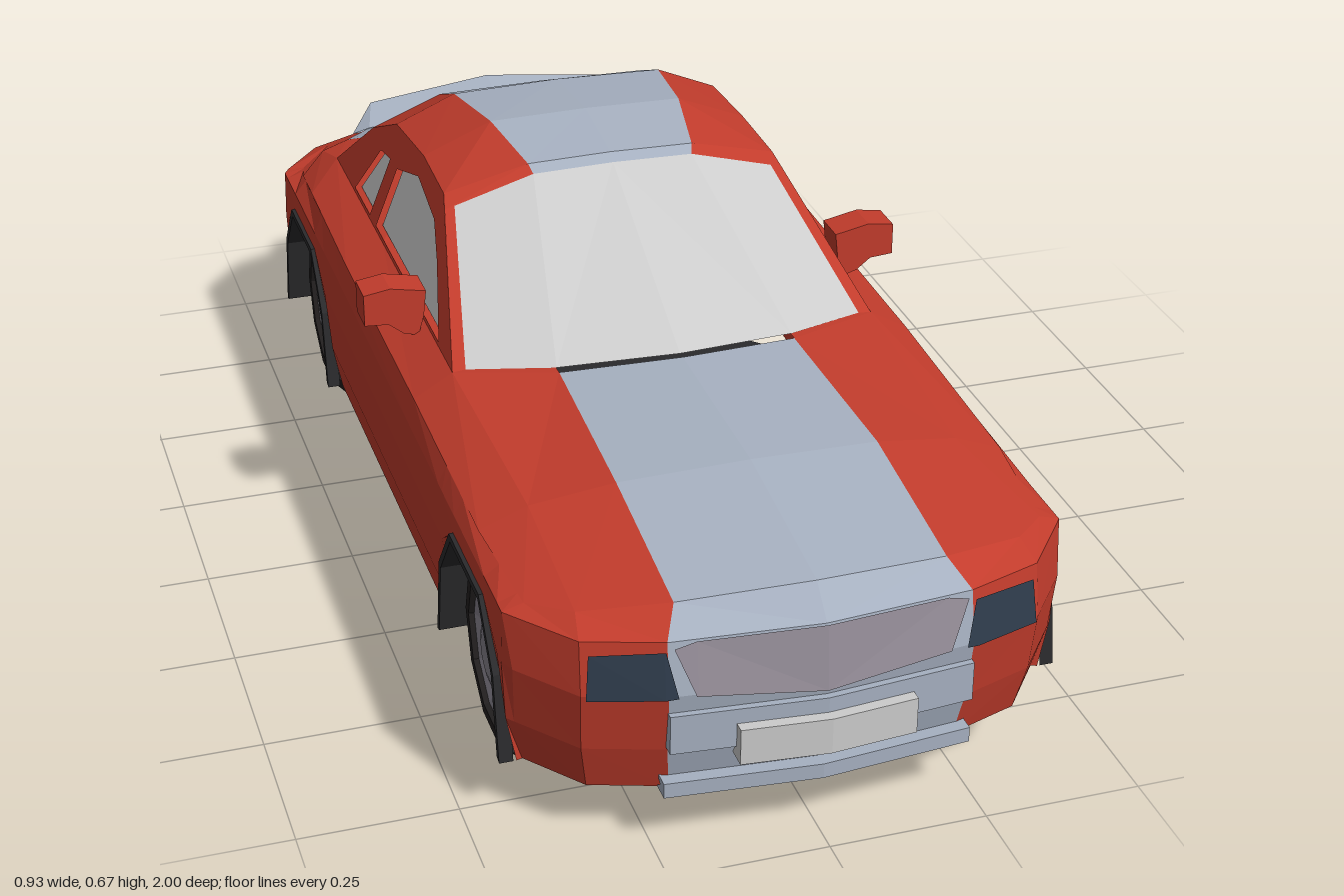
import * as THREE from 'three';

const paint = (color) => new THREE.MeshStandardMaterial({ color, flatShading: true, side: THREE.DoubleSide });
const RED = paint(0xc23c2c), STRIPE = paint(0xa6b0c0), GLASS = paint(0xcccccc), DARK = paint(0x2a2a2c);
const TYRE = paint(0x221f1f), RIM = paint(0x86828c), GRILLE = paint(0x978f9a), LAMP = paint(0x2f3c4c), TAIL = paint(0x4c0d14);

export function createModel() {
  const car = new THREE.Group();
  const add = (name, geometry, material) => {
    const mesh = new THREE.Mesh(geometry, material);
    mesh.name = name;
    car.add(mesh);
    return mesh;
  };

  // Skins a grid of points and its mirror image across x = 0
  const panel = (name, rows, material) => {
    const pos = [];
    for (const s of [1, -1]) {
      const put = (...pts) => (s > 0 ? pts : pts.reverse()).forEach(([x, y, z]) => pos.push(s * x, y, z));
      for (let i = 0; i + 1 < rows.length; i++) {
        for (let j = 0; j + 1 < rows[i].length; j++) {
          const a = rows[i][j], b = rows[i][j + 1], c = rows[i + 1][j + 1], d = rows[i + 1][j];
          put(a, b, d);
          put(b, c, d);
        }
      }
    }
    const g = new THREE.BufferGeometry();
    g.setAttribute('position', new THREE.Float32BufferAttribute(pos, 3));
    g.computeVertexNormals();
    return add(name, g, material);
  };
  const cut = (rows, from, to) => rows.map((r) => r.slice(from, to + 1));

  // Upper body stations, front to rear: centre, stripe edge, inner shoulder, outer shoulder
  const deck = [
    [[0, .41, .91], [.21, .4, .89], [.345, .385, .85], [.405, .375, .79]],
    [[0, .45, .62], [.21, .44, .61], [.345, .418, .6], [.422, .388, .6]],
    [[0, .457, .29], [.2, .448, .265], [.36, .44, .2], [.425, .402, .2]],
    [[0, .44, -.3], [.2, .44, -.3], [.36, .44, -.3], [.427, .405, -.3]],
    [[0, .488, -.665], [.16, .485, -.665], [.36, .44, -.68], [.422, .402, -.62]],
    [[0, .46, -.79], [.32, .432, -.775], [.37, .42, -.765], [.415, .385, -.74]],
    [[0, .41, -.94], [.25, .39, -.91], [.34, .38, -.875], [.4, .37, -.81]],
  ];
  panel('hoodStripe', cut(deck.slice(0, 3), 0, 1), STRIPE);
  panel('trunkStripe', cut(deck.slice(4), 0, 1), STRIPE);
  panel('upperBody', cut(deck, 1, 3), RED);

  // Outer shoulder point at a given z
  const shoulder = (z) => {
    const e = deck.map((r) => r[3]);
    let i = 0;
    while (i < e.length - 2 && e[i + 1][2] > z) i++;
    const t = THREE.MathUtils.clamp((z - e[i][2]) / (e[i + 1][2] - e[i][2]), 0, 1);
    return [0, 1].map((k) => THREE.MathUtils.lerp(e[i][k], e[i + 1][k], t)).concat(z);
  };

  // Columns round the body, front centre to rear centre, with the wheel openings as a raised lower edge
  const arch = [[.19, .1], [.165, .24], [.09, .335], [-.09, .335], [-.165, .24], [-.19, .1]];
  const axles = [.6, -.615];
  const rowY = [.365, .28, .18, .1], rowX = [.995, 1, .99, .955], rowZ = [.985, 1, .985, .965];
  const column = (x, z, low, top, end) => [top, ...rowY.map((y, r) =>
    [x * rowX[r], Math.max(y, low), end ? z * rowZ[r] : z])];
  const archColumns = (zc) => arch.map(([dz, y]) => column(.44, zc + dz, y, shoulder(zc + dz), false));
  const nose = deck[0], back = deck[6];
  const wrap = [
    column(0, .97, .1, nose[0], true), column(.235, .95, .1, nose[1], true),
    column(.355, .91, .1, nose[2], true), column(.43, .815, .1, nose[3], true),
    ...archColumns(axles[0]),
    column(.44, .2, .1, shoulder(.2), false), column(.44, -.3, .1, shoulder(-.3), false),
    ...archColumns(axles[1]),
    column(.43, -.835, .12, back[3], true), column(.36, -.92, .12, back[2], true),
    column(.24, -.97, .12, back[1], true), column(0, -1, .12, back[0], true),
  ];
  const last = wrap.length - 1;
  panel('noseStripe', wrap.slice(0, 2), STRIPE);
  panel('bodySide', wrap.slice(1, last), RED);
  panel('tailStripe', wrap.slice(last - 1), STRIPE);

  // Floor, narrowed between the wheels
  panel('floor', wrap.map((c) => {
    const [x, y, z] = c[4];
    const inWell = axles.some((a) => Math.abs(z - a) < .191);
    const h = inWell ? .1 : y;
    return [[inWell ? .3 : x, h, z], [0, h, z]];
  }), DARK);

  // Flat pieces laid on the skin; corners given as [column, row]
  const skin = (c, r) => {
    const i = Math.min(Math.floor(c), last - 1), j = Math.min(Math.floor(r), 3);
    const mix = (a, b, t) => a.map((v, k) => v + (b[k] - v) * t);
    const p = mix(mix(wrap[i][j], wrap[i][j + 1], r - j), mix(wrap[i + 1][j], wrap[i + 1][j + 1], r - j), c - i);
    return [p[0] * 1.005, p[1], p[2] + Math.sign(p[2]) * .006];
  };
  const inlay = (name, rows, material) => panel(name, rows.map((r) => r.map(([c, k]) => skin(c, k))), material);
  inlay('grille', [[[0, 1], [0, 2.2]], [[.82, 1], [.82, 2]], [[.96, 1.1], [.83, 2]]], GRILLE);
  inlay('headlight', [[[1.02, 1.15], [.94, 2]], [[1.04, 1.15], [1.04, 2.02]], [[1.9, 1.22], [1.94, 2.05]]], LAMP);
  inlay('taillight', [[[last - 2.95, 1.3], [last - 2.95, 2.4]], [[last - 2.1, 1.3], [last - 2.05, 2.4]]], TAIL);

  // Bars bent back from the centre: bumpers and plates
  const bar = (name, halfW, z, y0, y1, material) => {
    const sweep = Math.sign(z) * halfW * .09, t = Math.sign(z) * .035;
    const ring = (x, zz) => [[x, y1, zz - t], [x, y1, zz], [x, y0, zz], [x, y0, zz - t]];
    const end = ring(halfW, z - sweep);
    const shut = end.map(() => [halfW, (y0 + y1) / 2, z - sweep - t / 2]);
    panel(name, [ring(0, z), end, shut], material);
  };
  bar('frontBumper', .235, .977, .185, .25, STRIPE);
  bar('frontLip', .24, .965, .1, .125, STRIPE);
  bar('frontPlate', .137, .995, .165, .225, GLASS);
  bar('rearPlate', .13, -1, .19, .25, GLASS);

  // Ducktail spoiler
  const tip = [.29, .4, -.87];
  panel('spoiler', [
    [[0, .435, -.87], [.26, .415, -.855], tip],
    [[0, .456, -.95], [.24, .435, -.93], tip],
    [[0, .4, -.94], [.24, .385, -.91], tip],
  ], STRIPE);

  // Roof stations: centre, stripe edge, gutter
  const cabinX = (y) => .36 - (y - .44) * .4;
  const gutter = (y, z) => [cabinX(y), y, z];
  const roof = [
    [[0, .635, -.095], [.14, .632, -.095], gutter(.594, -.08)],
    [[0, .648, -.11], [.145, .645, -.11], gutter(.61, -.11)],
    [[0, .667, -.26], [.17, .664, -.26], gutter(.615, -.26)],
    [[0, .65, -.44], [.19, .645, -.44], gutter(.6, -.44)],
    [[0, .603, -.55], [.19, .6, -.55], gutter(.55, -.55)],
    [[0, .49, -.665], [.16, .487, -.665], gutter(.44, -.68)],
  ];
  panel('roofStripe', cut(roof.slice(0, 5), 0, 1), STRIPE);
  panel('rearWindow', cut(roof.slice(4), 0, 1), GLASS);
  panel('roof', cut(roof, 1, 2), RED);

  // Windscreen and its pillars
  const screen = [
    [[0, .456, .275], [.2, .449, .25], [.338, .442, .2], [.36, .44, .2]],
    [roof[0][0], roof[0][1], [.28, .598, -.085], roof[0][2]],
  ];
  panel('windscreen', cut(screen, 0, 2), GLASS);
  panel('frontPillar', cut(screen, 2, 3), RED);

  // Cabin sides drawn in z and y, then leaned inwards
  const outline = (pts) => pts.map(([z, y]) => new THREE.Vector2(z, y));
  const windows = [
    [[.1, .445], [-.03, .525], [-.11, .565], [-.25, .582], [-.36, .55], [-.36, .445]],
    [[-.41, .548], [-.47, .54], [-.53, .445], [-.41, .445]],
  ];
  const frame = new THREE.Shape(outline([[.2, .44], ...roof.slice(1).map((r) => [r[2][2], r[2][1]])]));
  frame.holes = windows.map((w) => new THREE.Path(outline(w)));
  const lean = (name, shape, inset, material) => {
    for (const s of [1, -1]) {
      const g = new THREE.ShapeGeometry(shape), p = g.attributes.position;
      for (let i = 0; i < p.count; i++) {
        const z = p.getX(i), y = p.getY(i);
        p.setXYZ(i, s * (cabinX(y) - inset), y, z);
      }
      g.computeVertexNormals();
      add(name, g, material);
    }
  };
  lean('cabinSide', frame, 0, RED);
  windows.forEach((w) => lean('sideWindow', new THREE.Shape(outline(w)), .012, GLASS));

  // Door mirrors
  const mirrorShape = outline([[.36, .505], [.365, .46], [.375, .425], [.4, .432], [.425, .452], [.465, .455], [.465, .51], [.42, .517]]);
  for (const s of [1, -1]) {
    const shape = new THREE.Shape(mirrorShape.map((p) => new THREE.Vector2(s * p.x, p.y)));
    add('doorMirror', new THREE.ExtrudeGeometry(shape, { depth: .06, bevelEnabled: false }), RED).position.z = -.03;
  }

  // Wheel arches, tyres and rims
  const lathe = (pts) => new THREE.LatheGeometry(pts.map(([r, h]) => new THREE.Vector2(r, h)), 10);
  const tyre = lathe([[0, .3], [.172, .3], [.172, .38], [.14, .412], [.122, .412], [.118, .395]]);
  const rim = lathe([[.122, .404], [.1, .396], [.056, .396], [.05, .412], [.036, .415], [0, .411]]);
  for (const zc of axles) {
    panel('wheelArch', arch.map(([dz, y]) => {
      const z = zc + dz, zi = zc + dz * .93, yi = Math.max(.1, .165 + (y - .165) * .93);
      return [[.425, y, z], [.447, y, z], [.447, yi, zi], [.3, yi, zi], [.3, .1, zi]];
    }), DARK);
    for (const s of [1, -1]) {
      for (const [name, g, m] of [['tyre', tyre, TYRE], ['rim', rim, RIM]]) {
        const wheel = add(name, g, m);
        wheel.position.set(0, .1636, zc);
        wheel.rotation.z = -s * Math.PI / 2;
      }
    }
  }
  return car;
}
